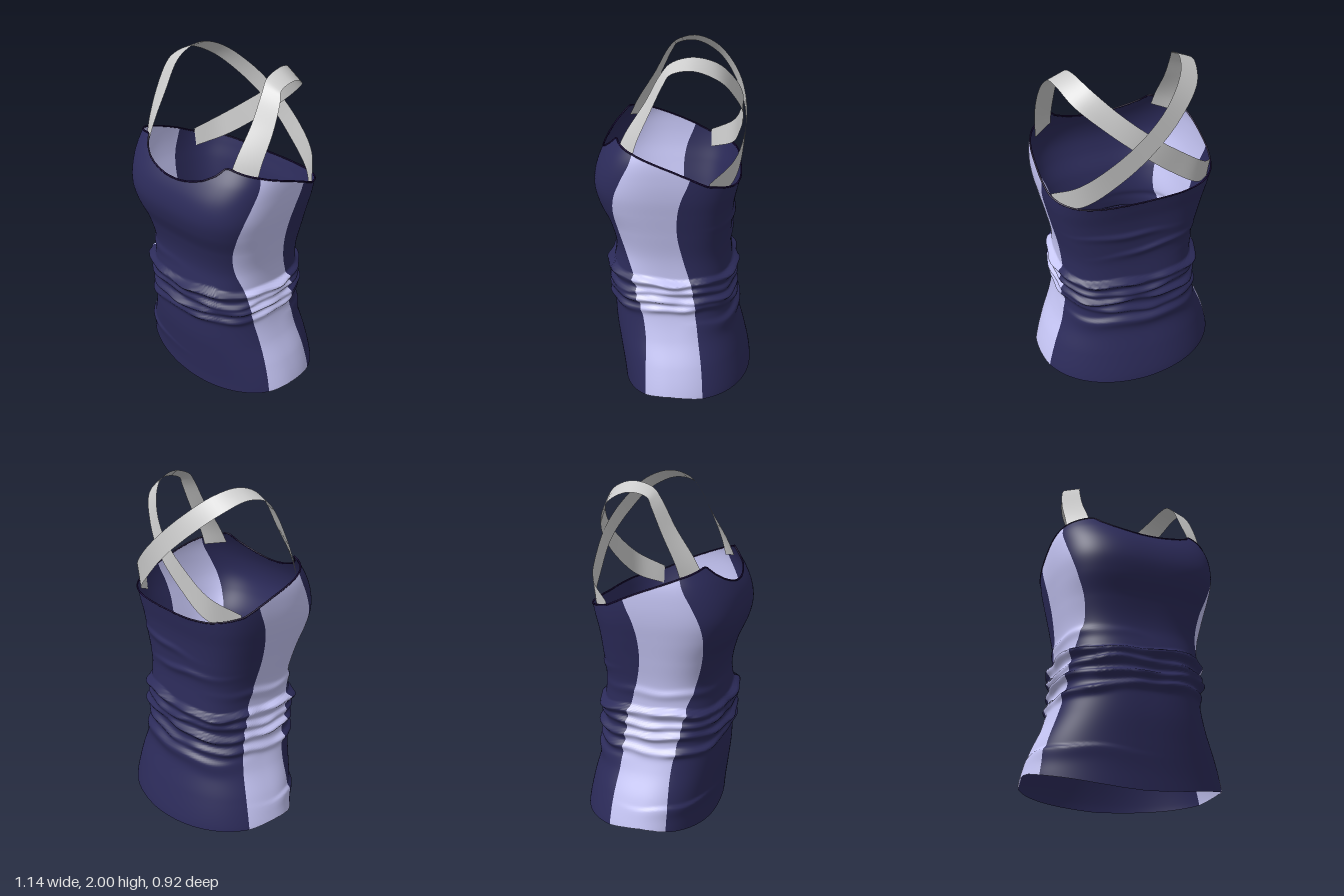
import * as THREE from 'three';

const ROWS = 150;
const NAVY = 0x2c2b5a, LILAC = 0xc6c6f6, TRIM = 0x1c0d3c, GREY = 0xcccccc;

// Body outline: y, half width, front depth, back depth, squareness, front seam z, back seam z
const PROFILE = [
  [0.00, 0.578, 0.32, 0.465, 2.2, 0.16, -0.17],
  [0.10, 0.567, 0.33, 0.455, 2.2, 0.16, -0.17],
  [0.25, 0.52, 0.35, 0.42, 2.3, 0.16, -0.16],
  [0.40, 0.455, 0.368, 0.375, 2.5, 0.16, -0.14],
  [0.55, 0.415, 0.372, 0.345, 2.7, 0.18, -0.12],
  [0.75, 0.402, 0.372, 0.333, 2.9, 0.22, -0.09],
  [0.90, 0.405, 0.355, 0.32, 3.0, 0.27, -0.05],
  [1.05, 0.432, 0.385, 0.325, 3.2, 0.31, -0.02],
  [1.18, 0.46, 0.44, 0.335, 3.3, 0.33, -0.02],
  [1.28, 0.48, 0.462, 0.355, 3.3, 0.32, -0.04],
  [1.38, 0.49, 0.448, 0.375, 3.2, 0.28, -0.08],
  [1.48, 0.488, 0.40, 0.375, 3.2, 0.23, -0.11],
  [1.58, 0.465, 0.33, 0.36, 3.2, 0.20, -0.12],
];

// Cloth folds: y, sideways tilt, height, width above, width below, centre angle, focus
const FOLDS = [
  [0.755, 0.008, 0.042, 0.012, 0.035, 0, 0],
  [0.685, 0.01, 0.028, 0.016, 0.025, 0, 0],
  [0.625, 0.02, 0.036, 0.016, 0.025, 0, 0],
  [0.555, 0.04, 0.026, 0.018, 0.025, 0, 0],
  [0.475, 0.02, 0.030, 0.020, 0.05, 4.7, 2],
  [0.84, -0.03, 0.012, 0.020, 0.03, 2.8, 2],
  [1.08, 0.02, 0.014, 0.015, 0.03, 4.9, 8],
  [0.96, -0.03, 0.016, 0.015, 0.03, 4.5, 6],
  [0.19, -0.02, 0.014, 0.010, 0.05, 2.5, 5],
];

// Top and bottom edge heights along each panel
const EDGES = {
  front: {
    top: [[0, 1.45], [0.1, 1.452], [0.2, 1.46], [0.3, 1.473], [0.4, 1.492], [0.52, 1.528], [0.6, 1.565], [0.64, 1.57], [1, 1.53]],
    hem: [[0, 0.003], [0.2, 0.009], [0.4, 0.023], [0.7, 0.05], [1, 0.075]],
  },
  side: { top: [[0, 1.53], [1, 1.41]], hem: [[0, 0.075], [0.25, 0.092], [0.5, 0.098], [0.75, 0.09], [1, 0.075]] },
  back: { top: [[0, 1.32], [0.3, 1.324], [0.5, 1.333], [0.8, 1.365], [1, 1.41]], hem: [[0, 0.05], [1, 0.075]] },
};

function linear(table, x) {
  let i = 0;
  while (i < table.length - 2 && x > table[i + 1][0]) i++;
  const [a, b] = [table[i], table[i + 1]];
  return a[1] + (b[1] - a[1]) * (x - a[0]) / (b[0] - a[0]);
}

// Smooth interpolation of all profile columns at height y
function profileAt(y) {
  const P = PROFILE, last = P.length - 1;
  let i = 0;
  while (i < last - 1 && y > P[i + 1][0]) i++;
  const h = P[i + 1][0] - P[i][0], t = (y - P[i][0]) / h;
  const slope = (j, k) => {
    const a = P[Math.max(j - 1, 0)], b = P[Math.min(j + 1, last)];
    return (b[k] - a[k]) / (b[0] - a[0]);
  };
  return P[i].map((_, k) =>
    P[i][k] * (1 + 2 * t) * (1 - t) ** 2 + P[i + 1][k] * t * t * (3 - 2 * t) +
    h * (slope(i, k) * t * (1 - t) ** 2 + slope(i + 1, k) * t * t * (t - 1)));
}

function foldHeight(angle, y) {
  let sum = 0;
  for (const [y0, tilt, amp, up, down, centre, focus] of FOLDS) {
    const wave = 0.008 * Math.sin(3 * angle + y0 * 40) + 0.005 * Math.sin(8 * angle + y0 * 90);
    const d = y - y0 - tilt * Math.cos(angle) - wave;
    const weight = focus ? Math.max(0, Math.cos(angle - centre)) ** focus
      : 0.85 + 0.2 * Math.sin(5 * angle + y0 * 60) + 0.12 * Math.sin(13 * angle + y0 * 110);
    sum += amp * weight * Math.exp(-((d / (d > 0 ? up : down)) ** 2));
  }
  return sum;
}

// Point on the body; s runs 0..1 across the named panel
function bodyPoint(panel, s, v) {
  const kind = panel === 'front' || panel === 'back' ? panel : 'side';
  const e = kind !== 'side' ? Math.abs(2 * s - 1) : panel === 'left' ? 1 - s : s;
  const hem = linear(EDGES[kind].hem, e), top = linear(EDGES[kind].top, e);
  const y = hem + (top - hem) * v;
  const [, width, front, back, n, seamF, seamB] = profileAt(y);
  const seamAngle = q => Math.atan2(q, (1 - q ** n) ** (1 / n));
  const f = seamAngle(seamF / front), b = seamAngle(-seamB / back);
  const [from, to] = {
    left: [-b, f], front: [f, Math.PI - f], right: [Math.PI - f, Math.PI + b], back: [Math.PI + b, 2 * Math.PI - b],
  }[panel];
  const angle = from + (to - from) * s, c = Math.cos(angle), d = Math.sin(angle);
  const k = (Math.abs(c) ** n + Math.abs(d) ** n) ** (-1 / n);
  const bump = foldHeight(angle, y);
  return new THREE.Vector3((width * k + bump) * c, y, ((d > 0 ? front : back) * k + bump) * d);
}

function mesh(name, geometry, color) {
  const m = new THREE.Mesh(geometry, new THREE.MeshStandardMaterial({ color, side: THREE.DoubleSide }));
  m.name = name;
  return m;
}

// Body panels share one vertex grid so shading runs across the seams
function addBody(group) {
  const panels = [['left', 20, LILAC], ['front', 70, NAVY], ['right', 20, LILAC], ['back', 64, NAVY]];
  const total = panels.reduce((n, p) => n + p[1], 0);
  const positions = [], all = [], rim = [], parts = [];
  let column = 0;
  for (const [name, count, color] of panels) {
    const index = [];
    for (let i = 0; i < count; i++, column++) {
      for (let j = 0; j <= ROWS; j++) {
        const p = bodyPoint(name, i / count, j / ROWS);
        positions.push(p.x, p.y, p.z);
        if (j === ROWS) rim.push(p);
        else {
          const a = column * (ROWS + 1) + j, b = ((column + 1) % total) * (ROWS + 1) + j;
          index.push(a, a + 1, b, b, a + 1, b + 1);
        }
      }
    }
    all.push(...index);
    parts.push([name + 'Panel', index, color]);
  }
  const whole = new THREE.BufferGeometry();
  whole.setAttribute('position', new THREE.Float32BufferAttribute(positions, 3));
  whole.setIndex(all);
  whole.computeVertexNormals();
  for (const [name, index, color] of parts) {
    const g = new THREE.BufferGeometry();
    g.setAttribute('position', whole.attributes.position);
    g.setAttribute('normal', whole.attributes.normal);
    g.setIndex(index);
    group.add(mesh(name, g, color));
  }
  // Piping around the neckline
  const path = new THREE.CatmullRomCurve3(rim, true);
  group.add(mesh('neckTrim', new THREE.TubeGeometry(path, 280, 0.005, 6, true), TRIM));
}

// Strap from the right front, over the shoulder to the left back: centre point, half-width vector
const STRAP = [
  [-0.37, 1.50, 0.262, 0.058, 0.012, 0.042],
  [-0.375, 1.60, 0.222, 0.058, 0.012, 0.032],
  [-0.382, 1.76, 0.135, 0.058, 0.01, 0.018],
  [-0.37, 1.90, 0.062, 0.053, 0.015, 0.01],
  [-0.35, 1.95, 0.02, 0.05, 0.02, 0],
  [-0.338, 1.974, -0.09, 0.048, 0.025, 0],
  [-0.29, 1.925, -0.22, 0.047, 0.036, 0.005],
  [-0.16, 1.805, -0.33, 0.038, 0.042, 0],
  [0, 1.67, -0.38, 0.034, 0.046, 0],
  [0.18, 1.525, -0.37, 0.034, 0.052, 0],
  [0.34, 1.405, -0.315, 0.015, 0.065, 0],
  [0.46, 1.325, -0.19, 0.008, 0.055, 0],
];

function strap(name, mirror, inset) {
  const edge = side => new THREE.CatmullRomCurve3(STRAP.map(([x, y, z, a, b, c]) =>
    new THREE.Vector3(mirror * (x + side * a), y + side * b, z + side * c + (Math.abs(x) < 0.2 ? inset : 0))));
  const curves = [edge(-1), edge(1)], steps = 80, positions = [], index = [];
  for (let i = 0; i <= steps; i++) {
    const [p, q] = curves.map(c => c.getPoint(i / steps));
    for (let j = 0; j <= 4; j++) positions.push(...p.clone().lerp(q, j / 4).toArray());
    if (i === steps) continue;
    for (let j = 0; j < 4; j++) {
      const a = i * 5 + j, b = a + 5;
      index.push(...(mirror > 0 ? [a, a + 1, b, b, a + 1, b + 1] : [a, b, a + 1, b, b + 1, a + 1]));
    }
  }
  const g = new THREE.BufferGeometry();
  g.setAttribute('position', new THREE.Float32BufferAttribute(positions, 3));
  g.setIndex(index);
  g.computeVertexNormals();
  return mesh(name, g, GREY);
}

export function createModel() {
  const group = new THREE.Group();
  group.name = 'tankTop';
  addBody(group);
  group.add(strap('rightStrap', 1, 0), strap('leftStrap', -1, 0.014));
  return group;
}
